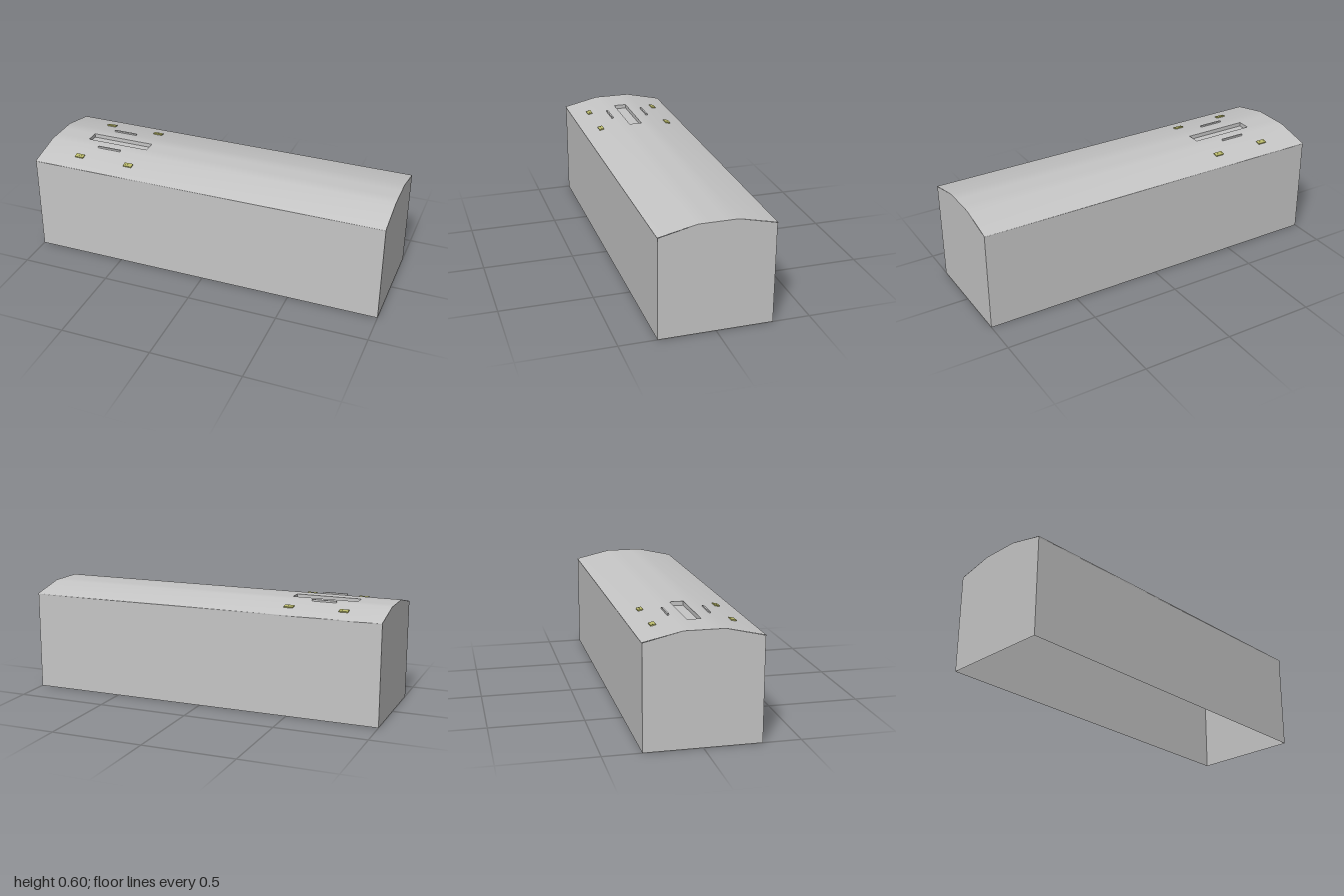
import * as THREE from 'three';

export function createModel() {
  const model = new THREE.Group();
  const grey = new THREE.MeshStandardMaterial({ color: 0xc6c6c6, side: THREE.DoubleSide });
  grey.name = 'light grey';
  const olive = new THREE.MeshStandardMaterial({ color: 0xbcbc6c });
  olive.name = 'olive yellow';

  const add = (name, geometry, material, x = 0, y = 0, z = 0, rx = 0, ry = 0) => {
    const mesh = new THREE.Mesh(geometry, material);
    mesh.name = name;
    mesh.position.set(x, y, z);
    mesh.rotation.set(rx, ry, 0);
    model.add(mesh);
    return mesh;
  };

  const halfWidth = 0.301, eave = 0.546, ridge = 0.592, ridgeHalf = 0.103;
  const slotX0 = -0.8, slotX1 = -0.44, slotHalf = 0.036, slotDepth = 0.022;

  // Side walls; the underside is left open
  for (const s of [1, -1]) {
    add(s > 0 ? 'frontWall' : 'backWall', new THREE.PlaneGeometry(2, eave), grey,
      0, eave / 2, s * halfWidth, 0, s > 0 ? 0 : Math.PI);
  }

  // End walls follow the roof outline
  const endShape = new THREE.Shape([
    [-halfWidth, 0], [halfWidth, 0], [halfWidth, eave],
    [ridgeHalf, ridge], [-ridgeHalf, ridge], [-halfWidth, eave],
  ].map(([z, y]) => new THREE.Vector2(z, y)));
  for (const s of [1, -1]) {
    add(s > 0 ? 'leftEnd' : 'rightEnd', new THREE.ShapeGeometry(endShape), grey,
      s, 0, 0, 0, s * Math.PI / 2);
  }

  // Smooth roof skin with small eave lips and a hole for the slot
  const half = [[halfWidth, 0.54], [0.303, 0.547], [ridgeHalf, ridge], [slotHalf, ridge]];
  const profile = [...half, ...half.slice().reverse().map(([z, y]) => [-z, y])];
  const xs = [-1, slotX0, slotX1, 1];
  const positions = [], indices = [];
  for (const [z, y] of profile) for (const x of xs) positions.push(x, y, z);
  for (let r = 0; r < profile.length - 1; r++) {
    for (let c = 0; c < xs.length - 1; c++) {
      if (r === 3 && c === 1) continue;
      const a = r * xs.length + c, d = a + xs.length;
      indices.push(a, a + 1, d + 1, a, d + 1, d);
    }
  }
  const roof = new THREE.BufferGeometry();
  roof.setAttribute('position', new THREE.Float32BufferAttribute(positions, 3));
  roof.setIndex(indices);
  roof.computeVertexNormals();
  add('roof', roof, grey);

  // Recessed slot in the roof
  const slotLength = slotX1 - slotX0, slotX = (slotX0 + slotX1) / 2;
  const slotY = ridge - slotDepth / 2;
  add('slotFloor', new THREE.PlaneGeometry(slotLength, slotHalf * 2), grey,
    slotX, ridge - slotDepth, 0, -Math.PI / 2);
  for (const s of [1, -1]) {
    add('slotSide', new THREE.PlaneGeometry(slotLength, slotDepth), grey,
      slotX, slotY, s * slotHalf, 0, s > 0 ? Math.PI : 0);
    add('slotEnd', new THREE.PlaneGeometry(slotHalf * 2, slotDepth), grey,
      slotX + s * slotLength / 2, slotY, 0, 0, -s * Math.PI / 2);
  }

  // Rails along the roof bends, and pads on the slopes
  const slope = Math.atan2(ridge - 0.547, 0.303 - ridgeHalf);
  for (const s of [1, -1]) {
    add('rail', new THREE.BoxGeometry(0.135, 0.01, 0.009), grey, -0.637, 0.595, s * 0.106);
    for (const x of [-0.773, -0.475]) {
      const pad = new THREE.Group();
      pad.name = 'roofPad';
      pad.position.set(x, 0.572, s * 0.203);
      pad.rotation.x = s * slope;
      for (const k of [-1, 1]) {
        const plate = new THREE.Mesh(new THREE.BoxGeometry(0.05, 0.007, 0.0135), olive);
        plate.name = 'padPlate';
        plate.position.z = k * 0.007;
        pad.add(plate);
      }
      model.add(pad);
    }
  }
  return model;
}
